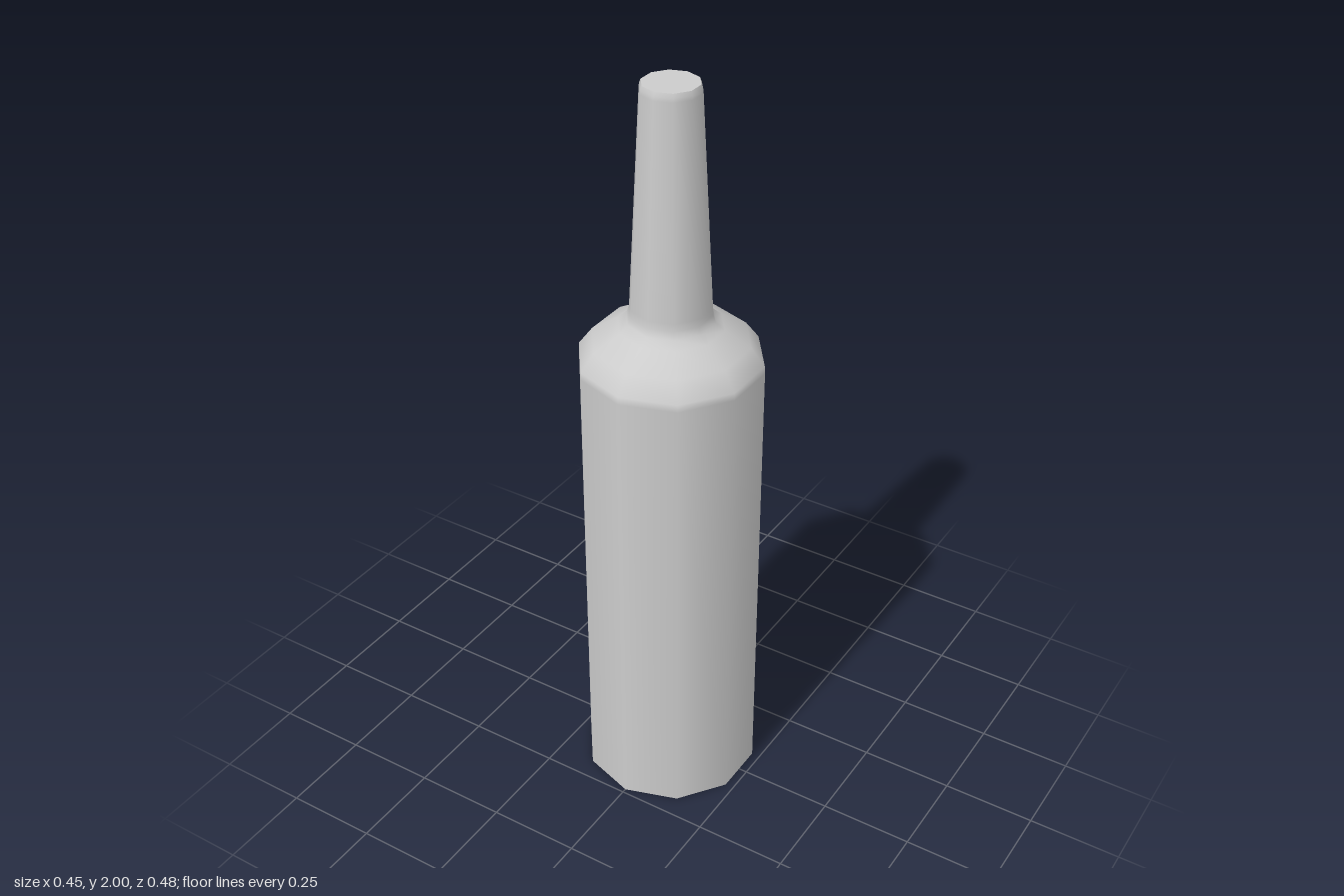
import * as THREE from 'three';

const SIDES = 10;

export function createModel() {
  const group = new THREE.Group();
  group.name = 'bottle';
  const material = new THREE.MeshStandardMaterial({ color: 0xcccccc });

  const add = (name, geometry, y = 0) => {
    const mesh = new THREE.Mesh(geometry, material);
    mesh.name = name;
    mesh.position.y = y;
    group.add(mesh);
  };

  // Ten-sided surface of revolution from [radius, height] pairs, bottom to top
  const lathe = (profile) =>
    new THREE.LatheGeometry(profile.map(([r, y]) => new THREE.Vector2(r, y)), SIDES);

  // Flat end cap with its corners on the same angles as the lathe
  const cap = (radius, facing) =>
    new THREE.CircleGeometry(radius, SIDES, Math.PI / 2).rotateX(-facing * Math.PI / 2);

  // Straight body, rounded shoulder and tapering neck in one smooth skin;
  // the extra rings beside each bend keep the long walls evenly shaded
  add('bodyAndNeck', lathe([
    [0.238, 0], [0.238, 1.265], [0.237, 1.285],
    [0.202, 1.332], [0.135, 1.372], [0.113, 1.39], [0.106, 1.41],
    [0.105, 1.43], [0.076, 1.98], [0.075, 1.99], [0.071, 2],
  ]));

  add('base', cap(0.238, -1));
  add('mouth', cap(0.071, 1), 2);

  return group;
}
